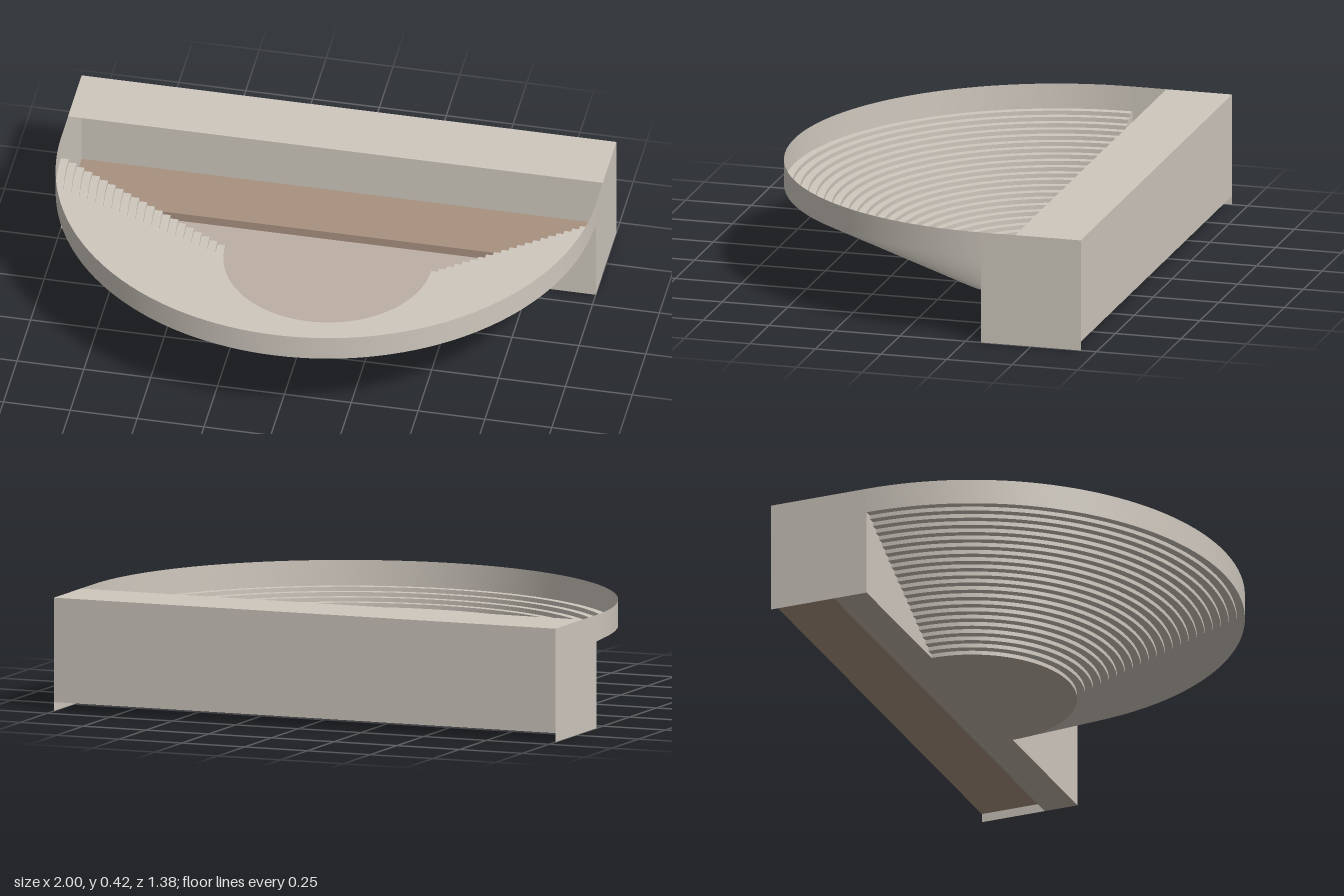
import * as THREE from 'three';
import { toCreasedNormals } from 'three/addons/utils/BufferGeometryUtils.js';

const R_IN = 0.385, R_OUT = 1, STEPS = 21;          // seating rings
const Y_SEAT = 0.325, Y_TOP = 0.42, Y_STAGE = 0.033; // heights
const Z_MID = -0.31, Z_STAGE = -0.44, Z_BACK = -0.69; // depths
const SEGMENTS = 72;

export function createModel() {
  const group = new THREE.Group();
  const mat = (color) => new THREE.MeshStandardMaterial({ color, side: THREE.DoubleSide });
  const stone = mat(0xcfc8be), floorMat = mat(0xbcafa5), wood = mat(0xa89280);

  const add = (name, geometry, material) => {
    const mesh = new THREE.Mesh(geometry, material);
    mesh.name = name;
    group.add(mesh);
    return mesh;
  };

  // Half-round surface swept around the centre of the orchestra
  const halfLathe = (points) => {
    const g = new THREE.LatheGeometry(points, SEGMENTS, -Math.PI / 2, Math.PI);
    return toCreasedNormals(g, Math.PI / 6).translate(0, 0, Z_MID);
  };

  // Flat horizontal sheet spanning the full width
  const sheet = (y, z0, z1) =>
    new THREE.PlaneGeometry(2, z1 - z0).rotateX(-Math.PI / 2).translate(0, y, (z0 + z1) / 2);

  // Upright sheet facing front or back
  const upright = (z, y0, y1) =>
    new THREE.PlaneGeometry(2, y1 - y0).translate(0, (y0 + y1) / 2, z);

  // Stepped seating profile
  const profile = [new THREE.Vector2(R_IN, 0)];
  for (let i = 0; i < STEPS; i++) {
    const y = ((i + 1) / STEPS) * Y_SEAT;
    const r = (k) => R_IN + (k / STEPS) * (R_OUT - R_IN);
    profile.push(new THREE.Vector2(r(i), y), new THREE.Vector2(r(i + 1), y));
  }
  add('seatingSteps', halfLathe(profile), stone);

  // Rim wall above the top row
  add('rimWall', halfLathe([new THREE.Vector2(R_OUT, Y_SEAT), new THREE.Vector2(R_OUT, Y_TOP)]), stone);

  // Orchestra half disc joined to the strip in front of the stage
  const floor = new THREE.Shape();
  floor.moveTo(-1, Z_STAGE);
  floor.lineTo(1, Z_STAGE);
  floor.lineTo(1, Z_MID);
  floor.lineTo(R_IN, Z_MID);
  floor.absarc(0, Z_MID, R_IN, 0, Math.PI, false);
  floor.lineTo(-1, Z_MID);
  add('orchestraFloor', new THREE.ShapeGeometry(floor, SEGMENTS / 2).rotateX(Math.PI / 2), floorMat);

  // Raised stage and its front riser
  add('stageFloor', sheet(Y_STAGE, Z_BACK, Z_STAGE), wood);
  add('stageRiser', upright(Z_STAGE, 0, Y_STAGE), wood);

  // Stage building shell
  add('backWall', upright(Z_BACK, Y_STAGE, Y_TOP), stone);
  add('stageRoof', sheet(Y_TOP, Z_BACK, Z_STAGE), stone);

  // Side walls, and the panels closing the ends of the seating
  const endShape = new THREE.Shape([...profile, new THREE.Vector2(R_OUT, 0)]);
  for (const [side, s] of [['left', 1], ['right', -1]]) {
    const wall = new THREE.PlaneGeometry(Z_MID - Z_BACK, Y_TOP)
      .rotateY((s * Math.PI) / 2)
      .translate(s, Y_TOP / 2, (Z_MID + Z_BACK) / 2);
    add(side + 'SideWall', wall, stone);

    const panel = new THREE.ShapeGeometry(endShape);
    if (s < 0) panel.rotateY(Math.PI);
    add(side + 'SeatingEndPanel', panel.translate(0, 0, Z_MID), stone);
  }

  return group;
}
